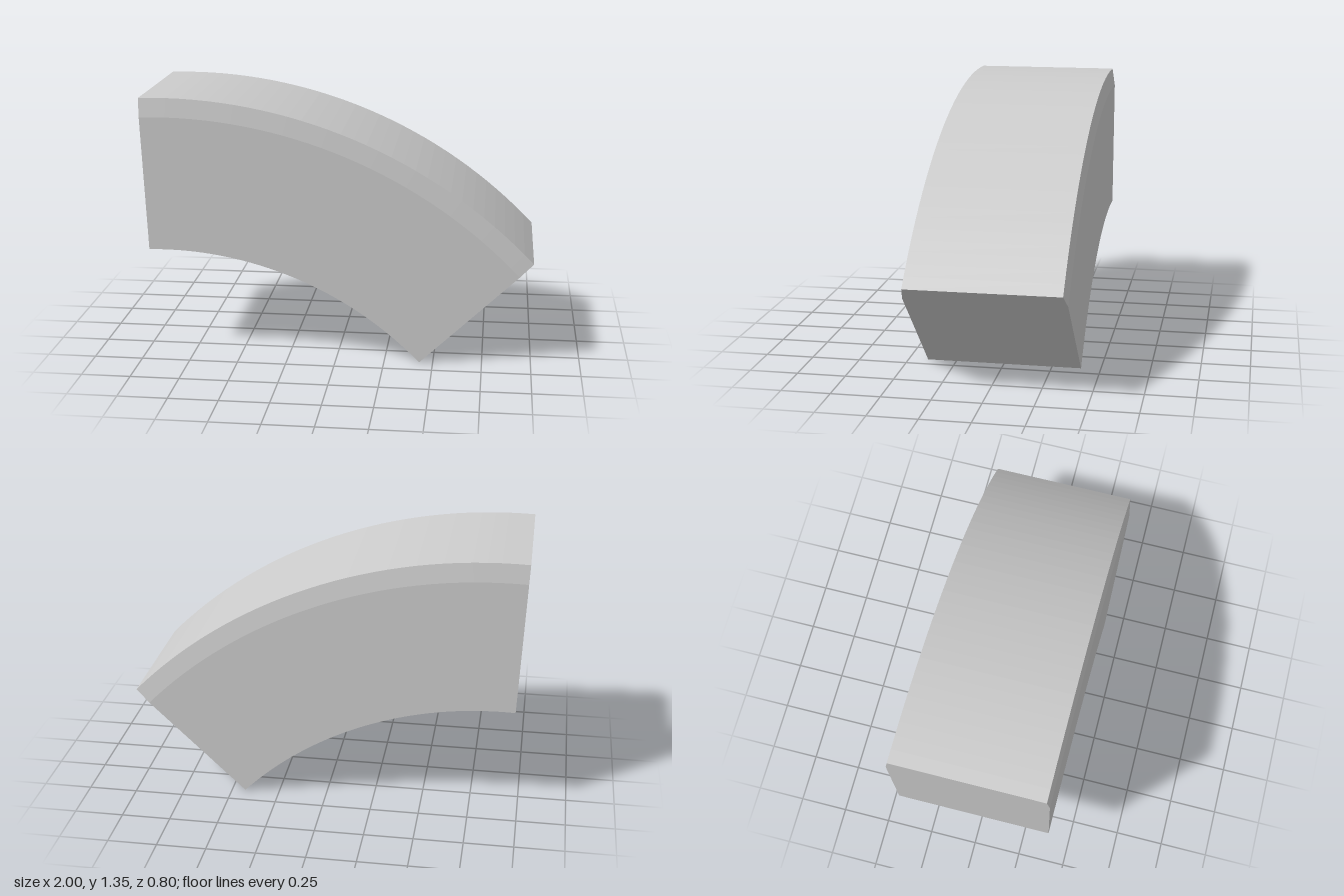
import * as THREE from 'three';

// Sweeps a closed (radius, z) cross-section around a centre in the xy plane
function sweepArc(section, cx, cy, startDeg, endDeg, segments) {
  const positions = [];
  const rings = [];
  for (let i = 0; i <= segments; i++) {
    const a = THREE.MathUtils.degToRad(startDeg + (endDeg - startDeg) * i / segments);
    rings.push(section.map(([r, z]) => [cx + r * Math.cos(a), cy + r * Math.sin(a), z]));
  }
  const tri = (a, b, c) => positions.push(...a, ...b, ...c);

  // Walls
  const n = section.length;
  for (let i = 0; i < segments; i++) {
    for (let k = 0; k < n; k++) {
      const a = rings[i][k], b = rings[i][(k + 1) % n];
      const c = rings[i + 1][(k + 1) % n], d = rings[i + 1][k];
      tri(a, b, c);
      tri(a, c, d);
    }
  }
  // End caps
  const first = rings[0], last = rings[segments];
  for (let k = 1; k < n - 1; k++) {
    tri(first[0], first[k + 1], first[k]);
    tri(last[0], last[k], last[k + 1]);
  }

  const geometry = new THREE.BufferGeometry();
  geometry.setAttribute('position', new THREE.Float32BufferAttribute(positions, 3));
  geometry.computeVertexNormals();
  return geometry;
}

export function createModel() {
  const group = new THREE.Group();
  group.name = 'curvedBlock';

  // Rectangular section with a slight taper along the outer edges
  const inner = 1.826, shoulder = 2.517, outer = 2.613;
  const half = 0.4, topHalf = 0.385;
  const section = [
    [inner, -half], [inner, half], [shoulder, half],
    [outer, topHalf], [outer, -topHalf], [shoulder, -half],
  ];

  const arc = new THREE.Mesh(
    sweepArc(section, -0.89, -1.2575, 43.7, 92.4, 32),
    new THREE.MeshStandardMaterial({ color: 0xcccccc, flatShading: true })
  );
  arc.name = 'archSegment';
  group.add(arc);
  return group;
}
